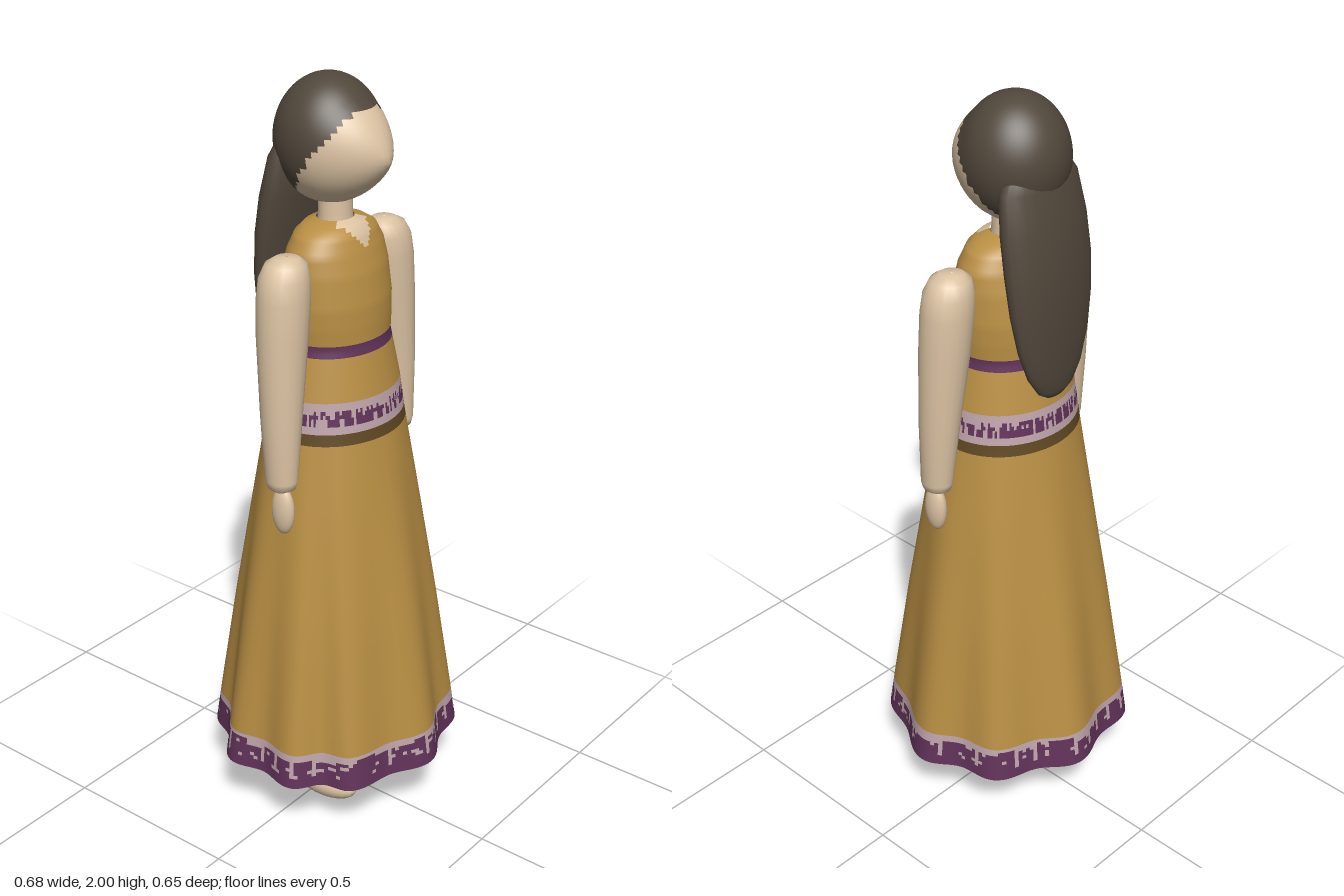
import * as THREE from 'three';

const mat = (name, color, side = THREE.FrontSide) => {
  const m = new THREE.MeshStandardMaterial({ color, side });
  m.name = name;
  return m;
};

// Even steps from a down to b, both ends included
const steps = (a, b, n) => Array.from({ length: n + 1 }, (_, i) => a + (b - a) * i / n);
const hash = (a, b = 0) => {
  const s = Math.sin(a * 12.9898 + b * 78.233) * 43758.5453;
  return s - Math.floor(s);
};

// Closed tube of rings running top to bottom; pick(centre, column) gives each cell's material
function ringMesh(name, rows, n, point, materials, pick = () => 0) {
  const pts = [];
  rows.forEach(r => {
    for (let i = 0; i < n; i++) pts.push(point(r, i / n * Math.PI * 2));
  });
  const buckets = materials.map(() => []);
  for (let r = 0; r < rows.length - 1; r++) {
    for (let i = 0; i < n; i++) {
      const j = (i + 1) % n;
      const a = r * n + i, b = r * n + j, c = a + n, d = b + n;
      const centre = new THREE.Vector3();
      [a, b, c, d].forEach(k => centre.addScaledVector(pts[k], 0.25));
      buckets[pick(centre, i)].push(a, b, c, b, d, c);
    }
  }
  const geo = new THREE.BufferGeometry().setFromPoints(pts);
  geo.setIndex(buckets.flat());
  let start = 0;
  buckets.forEach((b, k) => {
    geo.addGroup(start, b.length, k);
    start += b.length;
  });
  geo.computeVertexNormals();
  const mesh = new THREE.Mesh(geo, materials.length > 1 ? materials : materials[0]);
  mesh.name = name;
  return mesh;
}

// Loft through ellipses [y, rx, rz, cx, cz]
const loft = (name, sections, material, n = 20) => ringMesh(name, sections, n,
  ([y, rx, rz, cx, cz], t) => new THREE.Vector3(cx + rx * Math.cos(t), y, cz + rz * Math.sin(t)),
  [material]);

function ellipsoid(name, material, r, pos) {
  const mesh = new THREE.Mesh(new THREE.SphereGeometry(1, 20, 14), material);
  mesh.name = name;
  mesh.scale.set(...r);
  mesh.position.set(...pos);
  return mesh;
}

// Dress profile [y, rx, rz] and the angles of the hem folds
const PROFILE = [
  [1.65, 0.05, 0.045], [1.64, 0.088, 0.068], [1.62, 0.122, 0.085], [1.58, 0.146, 0.1],
  [1.53, 0.154, 0.115], [1.45, 0.159, 0.128], [1.4, 0.157, 0.13], [1.35, 0.152, 0.13],
  [1.22, 0.18, 0.154], [1.12, 0.194, 0.168], [0.9, 0.232, 0.203], [0.6, 0.276, 0.252],
  [0.3, 0.314, 0.295], [0.175, 0.329, 0.311],
];
const FOLDS = [0, 49, 90, 133, 161, 199, 237, 280, 321, 360];

function foldWave(t) {
  const deg = t * 180 / Math.PI;
  const k = Math.min(8, FOLDS.findIndex(f => f > deg) - 1);
  return Math.cos((deg - FOLDS[k]) / (FOLDS[k + 1] - FOLDS[k]) * Math.PI * 2);
}

function dressPoint(y, t) {
  let k = PROFILE.findIndex(p => p[0] <= y + 1e-6);
  if (k < 0) k = PROFILE.length - 1;
  k = Math.max(1, k);
  const [y0, x0, z0] = PROFILE[k - 1], [y1, x1, z1] = PROFILE[k];
  const f = (y - y0) / (y1 - y0);
  const depth = Math.max(0, (1.12 - y) / 0.945);
  const w = 1 + 0.05 * depth * foldWave(t);
  return new THREE.Vector3((x0 + (x1 - x0) * f) * w * Math.cos(t), y, (z0 + (z1 - z0) * f) * w * Math.sin(t));
}

export function createModel() {
  const model = new THREE.Group();
  model.name = 'womanInLongDress';
  const skin = mat('skin', 0xdcc3a3);
  const hair = mat('hair', 0x51473b);
  const ochre = mat('ochreCloth', 0xb98f44, THREE.DoubleSide);
  const purple = mat('purpleTrim', 0x613259, THREE.DoubleSide);
  const lilac = mat('lilacTrim', 0xc0a5ab, THREE.DoubleSide);
  const brown = mat('brownTrim', 0x604823, THREE.DoubleSide);

  // Bodice with V neckline and narrow belt
  model.add(ringMesh('bodice', steps(1.65, 1.22, 43), 180, dressPoint, [ochre, purple, skin], p => {
    if (p.y > 1.33 && p.y < 1.36) return 1;
    return p.z > 0 && p.y > 1.585 && Math.abs(p.x) < (p.y - 1.58) * 0.75 ? 2 : 0;
  }));

  // Skirt with woven waistband, brown stripe and patterned hem
  const skirtRows = [...steps(1.22, 1.11, 11), ...steps(1.11, 0.27, 14).slice(1), ...steps(0.27, 0.175, 10).slice(1)];
  model.add(ringMesh('skirt', skirtRows, 180, dressPoint, [ochre, purple, lilac, brown], (p, i) => {
    const glyph = Math.floor(i / 5), row = Math.round(p.y * 100);
    if (p.y > 1.14) {
      if (p.y < 1.16 || p.y > 1.21) return 2;
      const tall = 1.18 + 0.025 * hash(i, 3);
      return p.y < tall && (i % 5 > 0 || hash(glyph) > 0.6) && hash(i, row) > 0.15 ? 1 : 2;
    }
    if (p.y > 1.11) return 3;
    if (p.y > 0.27) return 0;
    if (p.y < 0.2) return 1;
    const tall = 0.236 + 0.022 * hash(glyph, 5);
    return p.y < tall && (i % 5 > 0 || hash(glyph, 9) > 0.65) && hash(i, row) > 0.1 ? 1 : 2;
  }));

  // Head: pointed face in front, hair colour behind a slanting hairline
  model.add(ringMesh('head', steps(0.01, Math.PI - 0.01, 32), 56, (phi, t) => {
    const s = Math.sin(phi);
    const p = new THREE.Vector3(0.135 * s * Math.cos(t), 1.842 + 0.158 * Math.cos(phi), -0.02 + 0.135 * s * Math.sin(t));
    if (p.z > 0) p.z += 0.052 * Math.max(0, 1 - Math.hypot(p.x, p.y - 1.81) / 0.14);
    return p;
  }, [skin, hair], p => (p.z < 0.1 + 0.71 * (p.y - 1.935) ? 1 : 0)));

  // Long hair hanging down the back
  model.add(loft('longHair', [
    [1.86, 0.05, 0.02, 0, -0.09], [1.84, 0.1, 0.04, 0, -0.09], [1.8, 0.125, 0.053, 0, -0.095],
    [1.7, 0.139, 0.058, 0, -0.112], [1.6, 0.142, 0.055, 0, -0.128], [1.5, 0.136, 0.049, 0, -0.139],
    [1.4, 0.12, 0.038, 0, -0.148], [1.32, 0.093, 0.028, 0, -0.154], [1.27, 0.06, 0.019, 0, -0.157],
    [1.25, 0.03, 0.01, 0, -0.157], [1.245, 0.002, 0.002, 0, -0.157],
  ], hair, 24));

  model.add(loft('neck', [[1.74, 0.043, 0.042, 0, 0], [1.66, 0.043, 0.042, 0, 0], [1.62, 0.05, 0.046, 0, 0]], skin));

  for (const [side, s] of [['left', 1], ['right', -1]]) {
    // Arm and hand
    model.add(loft(side + 'Arm', [
      [1.598, 0.002, 0.002, s * 0.192, 0.005], [1.596, 0.03, 0.03, s * 0.192, 0.005],
      [1.583, 0.052, 0.05, s * 0.196, 0.005], [1.55, 0.066, 0.061, s * 0.203, 0.005],
      [1.5, 0.069, 0.065, s * 0.208, 0.006], [1.4, 0.066, 0.063, s * 0.217, 0.008],
      [1.2, 0.052, 0.053, s * 0.233, 0.015], [1.03, 0.039, 0.043, s * 0.242, 0.02],
      [1.01, 0.034, 0.038, s * 0.242, 0.02], [1.0, 0.02, 0.02, s * 0.242, 0.02],
      [0.999, 0.002, 0.002, s * 0.242, 0.02],
    ], skin));
    model.add(ellipsoid(side + 'Hand', skin, [0.022, 0.066, 0.033], [s * 0.243, 0.945, 0.025]));
    // Leg and foot
    model.add(loft(side + 'Leg', [
      [1.0, 0.08, 0.08, s * 0.085, 0], [0.6, 0.066, 0.066, s * 0.09, 0], [0.3, 0.052, 0.05, s * 0.094, 0],
      [0.12, 0.038, 0.039, s * 0.095, 0], [0.05, 0.035, 0.036, s * 0.095, 0],
    ], skin));
    model.add(ellipsoid(side + 'Foot', skin, [0.048, 0.045, 0.107], [s * 0.095, 0.045, 0.035]));
  }
  return model;
}
